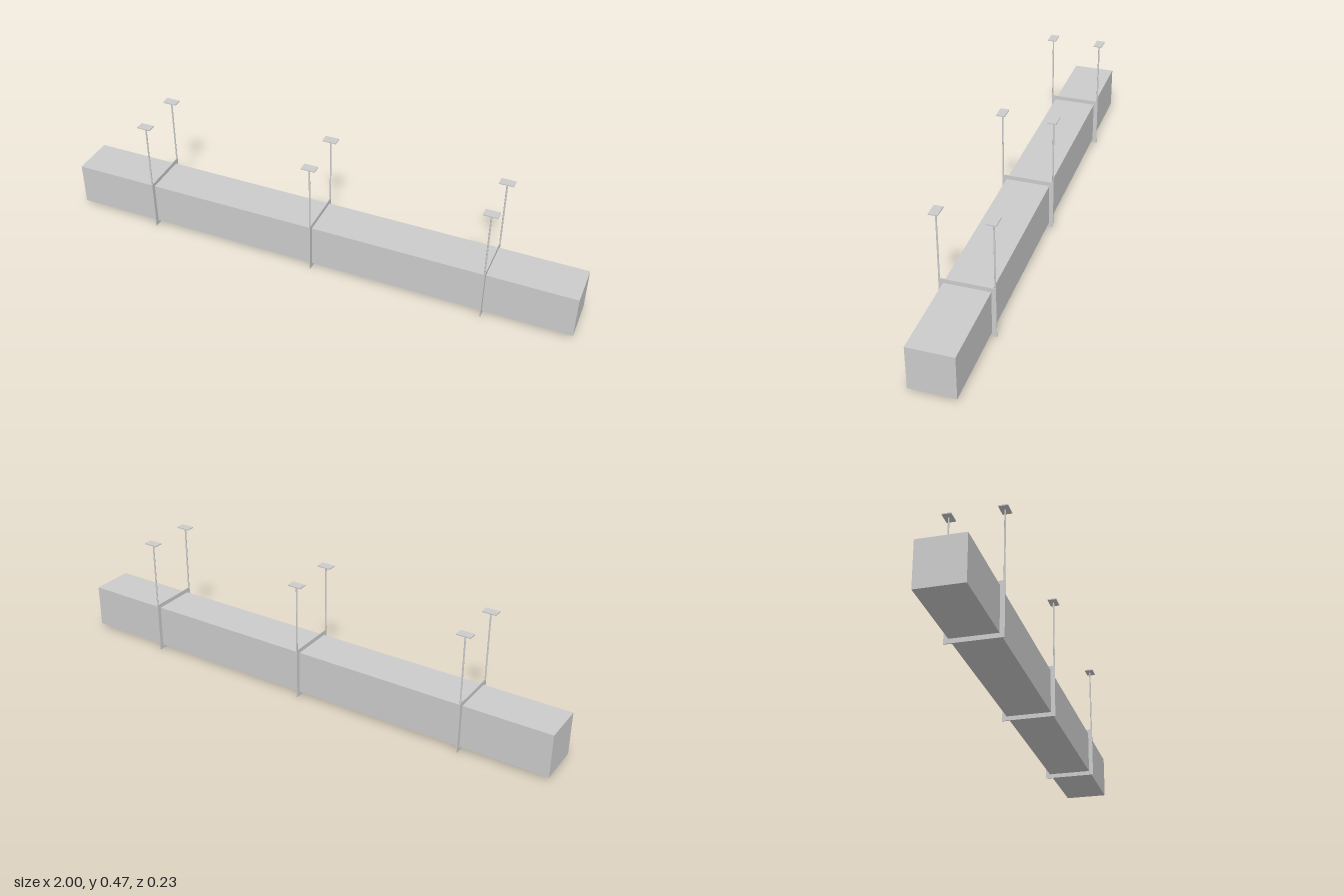
import * as THREE from 'three';

const grey = new THREE.MeshStandardMaterial({ color: 0xcccccc, flatShading: true });

const DUCT = 0.167;   // duct width and height
const FRAME = 0.2;    // outer size of the joint frames
const THICK = 0.004;  // frame plate thickness
const ROD_Z = 0.097;
const TOP = 0.467;

function add(parent, name, geometry, x, y, z) {
  const mesh = new THREE.Mesh(geometry, grey);
  mesh.name = name;
  mesh.position.set(x, y, z);
  parent.add(mesh);
  return mesh;
}

function square(PathType, size) {
  const h = size / 2;
  return new PathType([[-h, -h], [h, -h], [h, h], [-h, h]].map(([x, y]) => new THREE.Vector2(x, y)));
}

export function createModel() {
  const model = new THREE.Group();
  model.name = 'hungDuct';

  // Long square duct
  add(model, 'duct', new THREE.BoxGeometry(2, DUCT, DUCT), 0, FRAME / 2, 0);

  // Square collar plate that wraps the duct
  const frameShape = square(THREE.Shape, FRAME);
  frameShape.holes.push(square(THREE.Path, DUCT));
  const frameGeo = new THREE.ExtrudeGeometry(frameShape, { depth: THICK, bevelEnabled: false });
  frameGeo.translate(0, 0, -THICK / 2).rotateY(Math.PI / 2);

  // Hanger rod and ceiling plate
  const rodLength = TOP - 0.004 - FRAME;
  const rodGeo = new THREE.CylinderGeometry(0.003, 0.003, rodLength, 8);
  const plateGeo = new THREE.BoxGeometry(0.053, 0.004, 0.033);

  for (const x of [-0.667, 0, 0.667]) {
    const hanger = new THREE.Group();
    hanger.name = 'hanger';
    hanger.position.x = x;
    add(hanger, 'collar', frameGeo, 0, FRAME / 2, 0);
    for (const side of [-1, 1]) {
      add(hanger, 'rod', rodGeo, 0, FRAME + rodLength / 2, side * ROD_Z);
      add(hanger, 'ceilingPlate', plateGeo, 0, TOP - 0.002, side * ROD_Z);
    }
    model.add(hanger);
  }
  return model;
}
